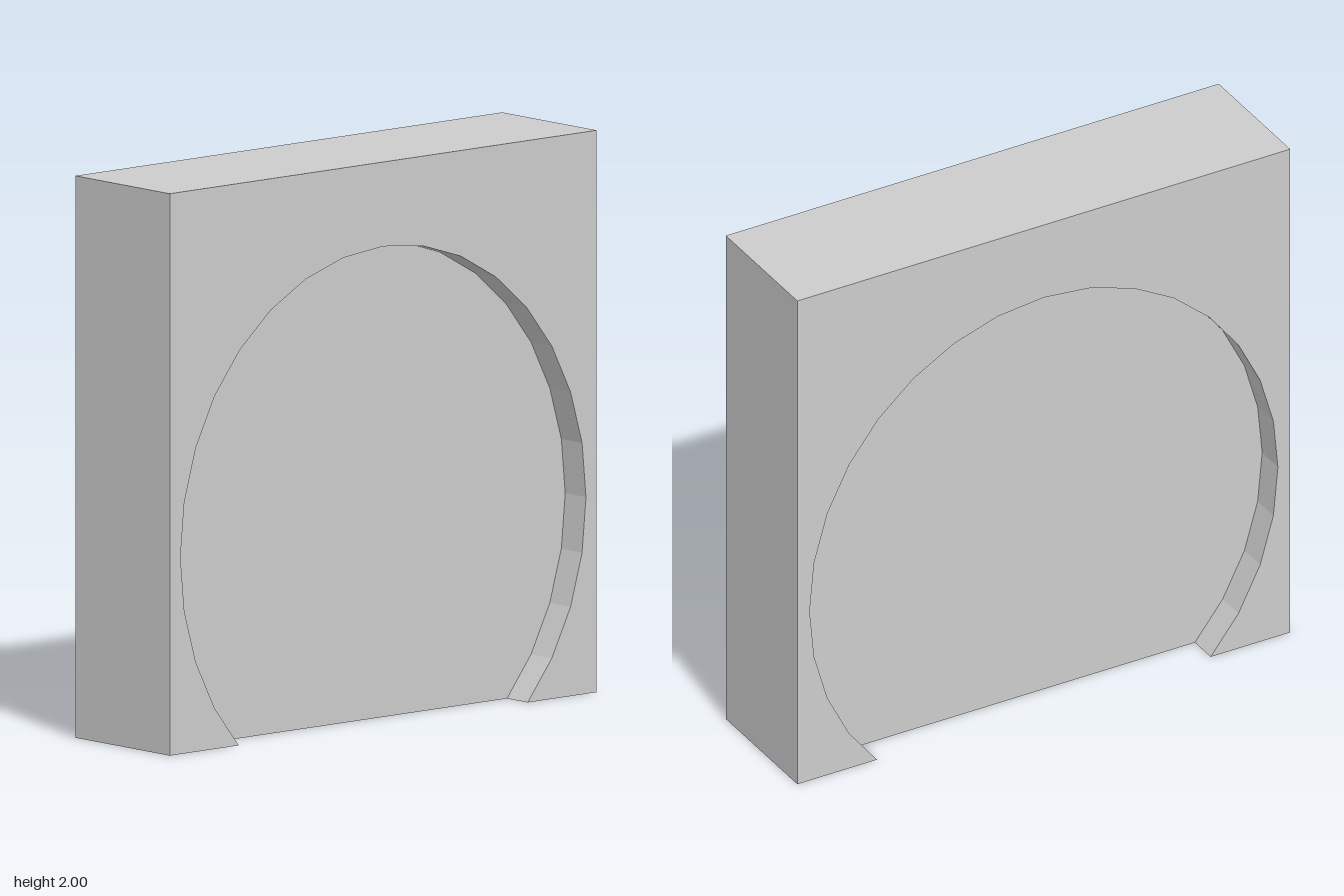
import * as THREE from 'three';

const DEPTH = 0.5, RECESS = 0.11;

// Faceted horseshoe arch outline, from the left foot over the top to the right foot
function archPoints() {
  const pts = [[0.677, 0]];
  for (let k = -11; k <= 11; k++) {
    const a = (-k * Math.PI) / 16;
    pts.push([0.95 * Math.sin(a), 0.7 + Math.cos(a)]);
  }
  pts.push([-0.677, 0]);
  return pts.map(([x, y]) => new THREE.Vector2(x, y));
}

// Flat-sided plate centred on z = 0
function plate(name, points, depth) {
  const geometry = new THREE.ExtrudeGeometry(new THREE.Shape(points), { depth, bevelEnabled: false });
  geometry.translate(0, 0, -depth / 2);
  const mesh = new THREE.Mesh(geometry, new THREE.MeshStandardMaterial({ color: 0xcccccc, flatShading: true }));
  mesh.name = name;
  return mesh;
}

export function createModel() {
  const group = new THREE.Group();
  group.name = 'archedWallBlock';
  const arch = archPoints();

  // Square surround with the arch cut out of its lower edge
  const corners = [[-1, 0], [-1, 2], [1, 2], [1, 0]].map(([x, y]) => new THREE.Vector2(x, y));
  group.add(plate('archSurround', [...corners, ...arch], DEPTH));

  // Panel filling the arch, set back from both faces
  group.add(plate('recessedPanel', arch, DEPTH - 2 * RECESS));

  return group;
}
